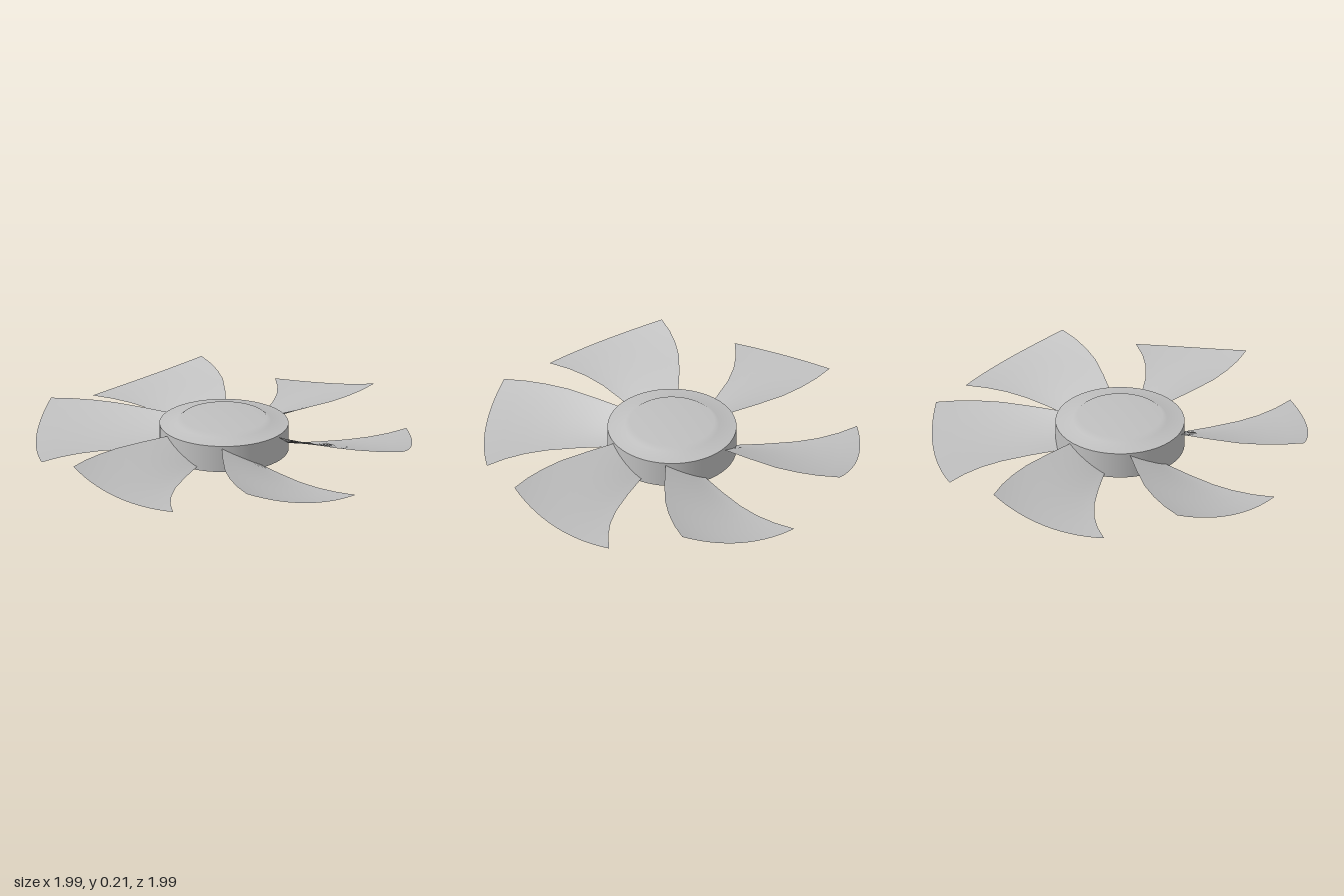
import * as THREE from 'three';

const DEG = Math.PI / 180;
// Blade outline: radius, angle of the low edge, angle of the high edge
const OUTLINE = [
  [0.32, -18.4, 18.9], [0.5, -19.3, 17.5], [0.66, -20.5, 16.3],
  [0.78, -22.3, 14.4], [0.89, -24.7, 12.3], [0.996, -27.5, 9.9],
];
const CHORD = 14;

// One skin of a cambered blade; side 1 is the upper skin, -1 the lower
function bladeSkin(side) {
  const positions = [], index = [];
  const last = OUTLINE.length - 1, row = CHORD + 1;
  OUTLINE.forEach(([r, low, high], i) => {
    const s = i / last;
    const camber = 1.1 + 1.0 * s; // flat pitch at the root, scooped at the tip
    for (let j = 0; j <= CHORD; j++) {
      const t = j / CHORD;
      const a = (low + (high - low) * t) * DEG;
      const thickness = 0.004 * Math.sin(Math.PI * t) * (1 - s ** 4);
      const y = 0.05 + 0.115 * t ** camber + side * thickness;
      positions.push(r * Math.cos(a), y, r * Math.sin(a));
      if (i < last && j < CHORD) {
        const p = i * row + j, q = p + row;
        if (side > 0) index.push(p, p + 1, q, p + 1, q + 1, q);
        else index.push(p, q, p + 1, p + 1, q, q + 1);
      }
    }
  });
  const geometry = new THREE.BufferGeometry();
  geometry.setAttribute('position', new THREE.Float32BufferAttribute(positions, 3));
  geometry.setIndex(index);
  geometry.computeVertexNormals();
  return geometry;
}

export function createModel() {
  const model = new THREE.Group();
  model.name = 'fanRotor';
  const grey = new THREE.MeshStandardMaterial({ color: 0xc0c0c0 });
  grey.name = 'grey';

  const add = (parent, name, geometry) => {
    const mesh = new THREE.Mesh(geometry, grey);
    mesh.name = name;
    parent.add(mesh);
    return mesh;
  };

  // Hub: open drum wall closed by two stepped caps
  const hub = new THREE.Group();
  hub.name = 'hub';
  model.add(hub);
  const wall = new THREE.CylinderGeometry(0.342, 0.342, 0.146, 48, 1, true);
  add(hub, 'hubWall', wall.translate(0, 0.105, 0));
  const capProfile = [[0.342, 0.073], [0.25, 0.086], [0.225, 0.105], [0, 0.105]]
    .map(([r, y]) => new THREE.Vector2(r, y));
  const cap = new THREE.LatheGeometry(capProfile, 48);
  add(hub, 'hubTopCap', cap).position.y = 0.105;
  const bottomCap = add(hub, 'hubBottomCap', cap);
  bottomCap.position.y = 0.105;
  bottomCap.rotation.x = Math.PI;

  // Six blades around the hub
  const upper = bladeSkin(1), lower = bladeSkin(-1);
  for (let k = 0; k < 6; k++) {
    const blade = new THREE.Group();
    blade.name = 'blade' + (k + 1);
    blade.rotation.y = k * 60 * DEG;
    add(blade, 'bladeUpperSkin', upper);
    add(blade, 'bladeLowerSkin', lower);
    model.add(blade);
  }
  return model;
}
